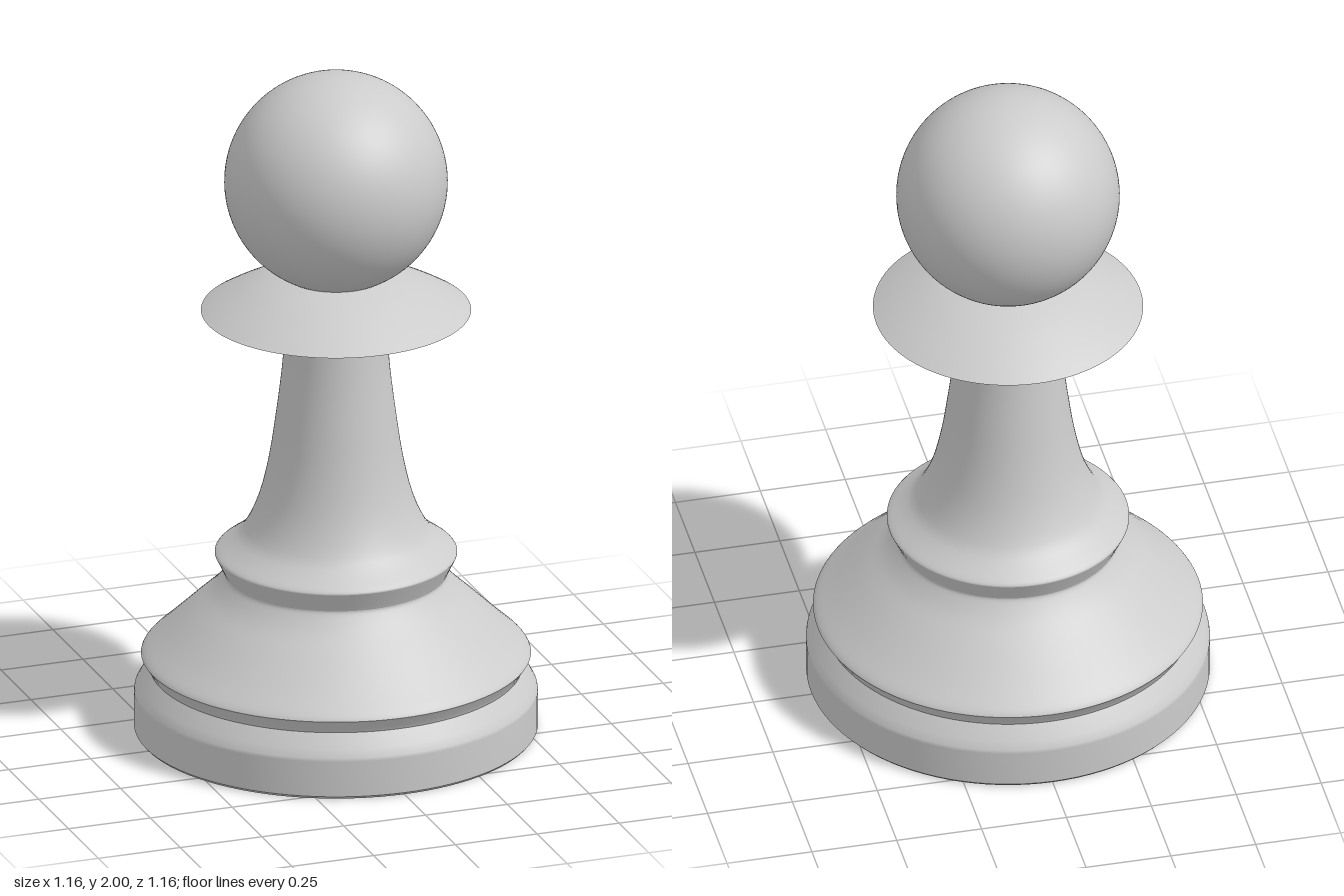
import * as THREE from 'three';

const material = new THREE.MeshStandardMaterial({ color: 0xcccccc });
const SEGMENTS = 96;

// Revolves a profile of [radius, height] pairs listed from bottom to top.
function turned(name, profile, smooth = false) {
  let points = profile.map(([r, y]) => new THREE.Vector2(r, y));
  if (smooth) points = new THREE.SplineCurve(points).getPoints(24);
  const mesh = new THREE.Mesh(new THREE.LatheGeometry(points, SEGMENTS), material);
  mesh.name = name;
  return mesh;
}

export function createModel() {
  const pawn = new THREE.Group();
  pawn.name = 'pawn';

  // Each section ends at a sharp edge, so the edges stay crisp
  pawn.add(
    turned('baseBottom', [[0, 0], [0.573, 0]]),
    turned('baseEdge', [[0.573, 0], [0.58, 0.008]]),
    turned('baseRim', [[0.58, 0.008], [0.58, 0.115], [0.578, 0.125], [0.565, 0.148], [0.535, 0.188]]),
    turned('baseGroove', [[0.535, 0.188], [0.54, 0.2], [0.56, 0.23]]),
    turned('baseSlope', [[0.56, 0.23], [0.548, 0.246], [0.5, 0.29], [0.42, 0.366], [0.36, 0.422], [0.325, 0.465], [0.32, 0.478]], true),
    turned('ringUnderside', [[0.32, 0.478], [0.325, 0.49], [0.348, 0.538]]),
    turned('stem', [[0.348, 0.538], [0.343, 0.548], [0.3, 0.58], [0.262, 0.62], [0.222, 0.71], [0.193, 0.83],
      [0.172, 0.97], [0.156, 1.1], [0.147, 1.212]], true),
    turned('collarUnderside', [[0.147, 1.212], [0.17, 1.222], [0.25, 1.244], [0.388, 1.284]], true),
    turned('collarTop', [[0.388, 1.284], [0.33, 1.318], [0.25, 1.358], [0.18, 1.384], [0.11, 1.4], [0, 1.402]], true),
  );

  // Ball head, its underside sunk into the collar
  const head = new THREE.Mesh(new THREE.SphereGeometry(0.321, SEGMENTS, 64), material);
  head.name = 'head';
  head.position.y = 1.679;
  pawn.add(head);

  return pawn;
}
